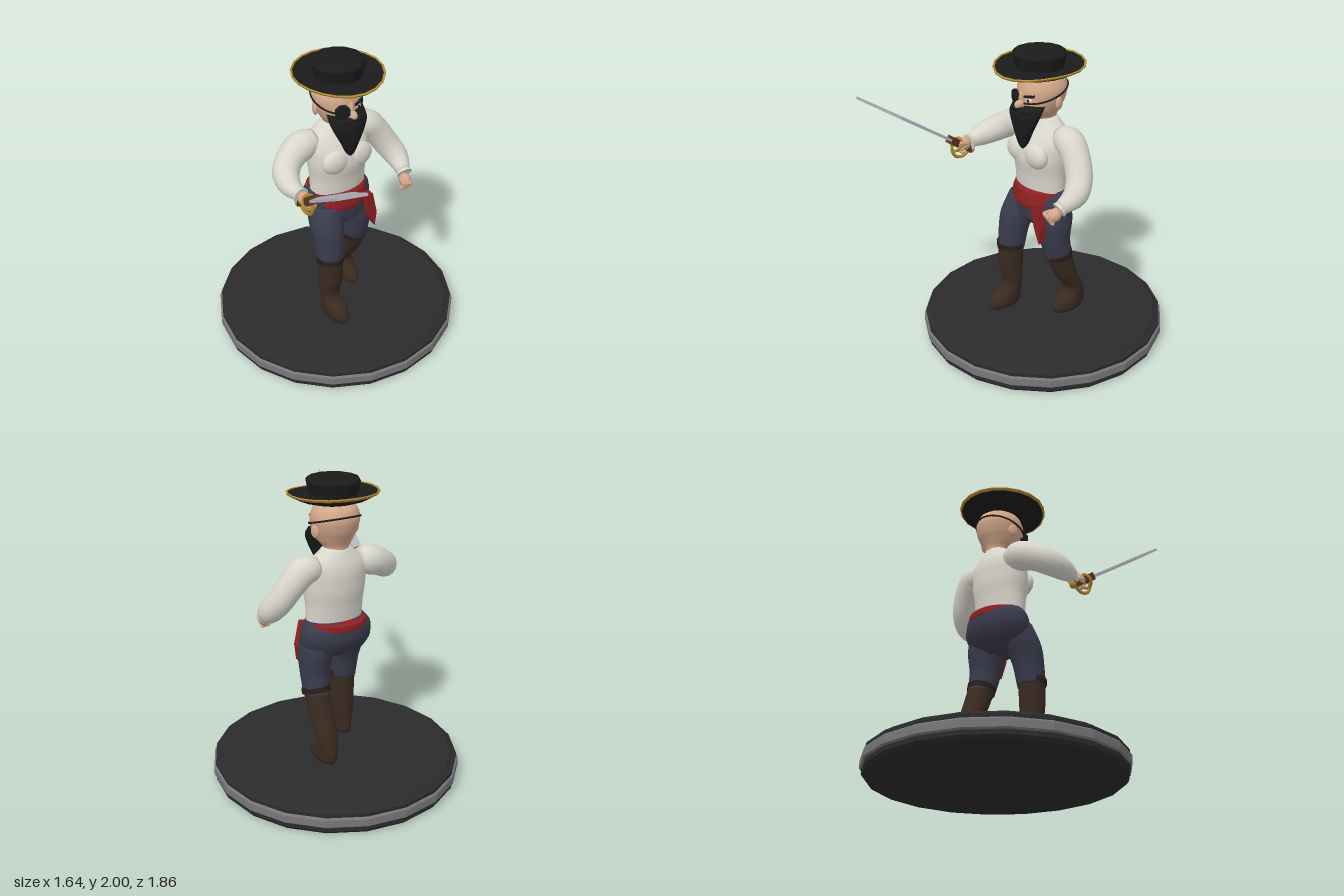
import * as THREE from 'three';

const COLORS = {
  black: 0x1b1b1b, stone: 0x2b2b2d, grey: 0x77777a, gold: 0xb08a30, skin: 0xd3a88a, white: 0xd9d6cc,
  blue: 0x3a3b4c, red: 0x8f2024, boot: 0x3a2a20, strap: 0x2c1e17, wood: 0x55341f, steel: 0xb4b7c0,
};
const mats = {};
function mat(name, flat = false) {
  const key = name + flat;
  return (mats[key] ??= new THREE.MeshStandardMaterial({ color: COLORS[name], flatShading: flat }));
}
function add(parent, name, geo, color, pos = [0, 0, 0], flat = false) {
  const m = new THREE.Mesh(geo, mat(color, flat));
  m.name = name;
  m.position.set(...pos);
  parent.add(m);
  return m;
}

// Smooth skin through elliptical rings [x, y, z, rx, rz]; rings lie level, or across the path when aligned
function loft(rings, { sides = 20, steps = 24, aligned = false } = {}) {
  const path = new THREE.CatmullRomCurve3(rings.map(r => new THREE.Vector3(r[0], r[1], r[2])));
  const radii = new THREE.CatmullRomCurve3(rings.map(r => new THREE.Vector3(r[3], r[4] ?? r[3], 0)));
  const frames = path.computeFrenetFrames(steps);
  const rise = Math.sign(rings[rings.length - 1][1] - rings[0][1]);
  const pos = [], index = [];
  for (let i = 0; i <= steps; i++) {
    const c = path.getPointAt(i / steps);
    const r = radii.getPoint(path.getUtoTmapping(i / steps));
    const u = aligned ? frames.normals[i] : new THREE.Vector3(1, 0, 0);
    const t = aligned ? frames.tangents[i] : new THREE.Vector3(0, rise, 0);
    const v = new THREE.Vector3().crossVectors(u, t);
    for (let j = 0; j < sides; j++) {
      const a = (j / sides) * Math.PI * 2;
      const p = c.clone().addScaledVector(u, Math.cos(a) * r.x).addScaledVector(v, Math.sin(a) * r.y);
      pos.push(p.x, p.y, p.z);
      if (i === steps) continue;
      const k = i * sides, n = (j + 1) % sides;
      index.push(k + j, k + sides + j, k + n, k + n, k + sides + j, k + sides + n);
    }
  }
  const last = steps * sides, mid = last + sides;
  pos.push(...path.getPoint(0).toArray(), ...path.getPoint(1).toArray());
  for (let j = 0; j < sides; j++) {
    const n = (j + 1) % sides;
    index.push(mid, j, n, mid + 1, last + n, last + j);
  }
  const g = new THREE.BufferGeometry();
  g.setAttribute('position', new THREE.Float32BufferAttribute(pos, 3));
  g.setIndex(index);
  g.computeVertexNormals();
  return g;
}
const lathe = (pts, n) => new THREE.LatheGeometry(pts.map(p => new THREE.Vector2(...p)), n);
const ball = (x, y, z) => new THREE.SphereGeometry(1, 16, 12).scale(x, y, z);

function outline(pts, depth) {
  const shape = new THREE.Shape(pts.map(p => new THREE.Vector2(...p)));
  return new THREE.ExtrudeGeometry(shape, { depth, bevelEnabled: false }).translate(0, 0, -depth / 2);
}

function buildBase(root) {
  const z = -0.115;
  add(root, 'basePlinth', lathe([[0, 0], [0.79, 0], [0.807, 0.02], [0.807, 0.14], [0.79, 0.145], [0.765, 0.165], [0, 0.165]], 20),
    'stone', [0, 0, z], true);
  add(root, 'baseBand', lathe([[0.8, 0.045], [0.815, 0.052], [0.82, 0.058], [0.82, 0.105], [0.815, 0.113], [0.8, 0.12]], 20),
    'grey', [0, 0, z], true);
}

// Right leg steps forward, left leg trails
function buildLegs(root) {
  add(root, 'trouserSeat', loft([[0, 0.84, -0.07, 0.13, 0.08], [0, 0.89, -0.09, 0.215, 0.145], [0, 0.98, -0.11, 0.247, 0.17],
    [0, 1.05, -0.115, 0.238, 0.165], [0, 1.1, -0.11, 0.2, 0.14]]), 'blue');
  const legs = [
    { side: 'right', s: -1, thigh: [-0.07, -0.02, 0.02, 0.04], shin: [0.045, 0.045, 0.035], foot: [0.055, 0.09, 0.1] },
    { side: 'left', s: 1, thigh: [-0.1, -0.09, -0.09, -0.12], shin: [-0.12, -0.185, -0.255], foot: [-0.25, -0.225, -0.21] },
  ];
  for (const { side, s, thigh: t, shin: b, foot: f } of legs) {
    add(root, side + 'TrouserLeg', loft([[s * 0.125, 1.0, t[0], 0.1, 0.12], [s * 0.137, 0.88, t[1], 0.11, 0.125],
      [s * 0.145, 0.75, t[2], 0.097, 0.105], [s * 0.15, 0.6, t[3], 0.086, 0.09]]), 'blue');
    add(root, side + 'Boot', loft([[s * 0.15, 0.62, b[0], 0.084, 0.088], [s * 0.15, 0.45, b[1], 0.08, 0.08],
      [s * 0.152, 0.33, b[2], 0.07, 0.066], [s * 0.152, 0.285, f[0], 0.068, 0.085], [s * 0.152, 0.25, f[1], 0.068, 0.12],
      [s * 0.152, 0.2, f[2], 0.067, 0.134], [s * 0.152, 0.168, f[2], 0.055, 0.115]], { steps: 32 }), 'boot');
    const strap = add(root, side + 'BootStrap', new THREE.CylinderGeometry(0.094, 0.092, 0.035, 16), 'strap',
      [s * 0.15, 0.63, b[0] + 0.002], true);
    strap.rotation.x = s > 0 ? 0.25 : 0;
    add(strap, 'buckle', new THREE.BoxGeometry(0.01, 0.04, 0.045), 'strap', [s * 0.092, 0, 0]);
  }
}

function buildTorso(root) {
  add(root, 'shirt', loft([[0, 1.07, -0.09, 0.195, 0.125], [0, 1.2, -0.09, 0.198, 0.14], [0, 1.31, -0.088, 0.212, 0.158],
    [0, 1.4, -0.095, 0.215, 0.152], [0, 1.47, -0.11, 0.2, 0.125], [0, 1.52, -0.115, 0.145, 0.1], [0, 1.57, -0.115, 0.08, 0.078]],
    { sides: 24 }), 'white');
  for (const s of [-1, 1]) add(root, 'shirtChest', ball(0.1, 0.085, 0.055), 'white', [s * 0.085, 1.34, 0.022]);
  // Sash is deep in front and shallow behind
  const sash = loft([[0, 0.97, -0.1, 0.205, 0.165], [0, 1.0, -0.105, 0.215, 0.178], [0, 1.09, -0.11, 0.203, 0.172], [0, 1.1, -0.11, 0.19, 0.155]],
    { sides: 24, steps: 8 });
  const p = sash.attributes.position;
  for (let i = 0; i < p.count; i++) {
    const back = THREE.MathUtils.clamp((0.06 - p.getZ(i)) / 0.2, 0, 1);
    p.setY(i, 1.1 - (1.1 - p.getY(i)) * (1 - 0.5 * back));
  }
  sash.computeVertexNormals();
  add(root, 'sash', sash, 'red', [0, 0, 0], true);
  const tail = add(root, 'sashTail', outline([[0.105, 1.03], [0.14, 0.87], [0.185, 0.77], [0.197, 0.88], [0.16, 1.04]], 0.05),
    'red', [0, 0, 0.04], true);
  tail.rotation.x = 0.02;
}

function fist(root, name, pos, rot, s) {
  const hand = new THREE.Group();
  hand.name = name;
  hand.position.set(...pos);
  hand.rotation.set(...rot);
  root.add(hand);
  add(hand, 'palm', ball(0.04, 0.042, 0.05), 'skin');
  for (let i = 0; i < 4; i++) {
    const finger = add(hand, 'finger', new THREE.CapsuleGeometry(0.013, 0.04, 3, 8), 'skin', [-s * 0.008, 0.033 - i * 0.022, 0.042]);
    finger.rotation.z = Math.PI / 2;
  }
  const thumb = add(hand, 'thumb', new THREE.CapsuleGeometry(0.013, 0.04, 3, 8), 'skin', [-s * 0.035, 0.025, 0.02]);
  thumb.rotation.x = 1.1;
}

function buildArms(root) {
  const arms = {
    right: [[-0.15, 1.45, -0.12, 0.075], [-0.24, 1.44, -0.125, 0.097], [-0.34, 1.4, -0.1, 0.09], [-0.42, 1.35, -0.03, 0.085],
      [-0.445, 1.32, 0.06, 0.07], [-0.437, 1.305, 0.15, 0.042]],
    left: [[0.15, 1.45, -0.12, 0.075], [0.24, 1.445, -0.12, 0.095], [0.315, 1.37, -0.11, 0.09], [0.385, 1.26, -0.075, 0.085],
      [0.42, 1.185, -0.015, 0.078], [0.405, 1.12, 0.09, 0.045]],
  };
  for (const [side, rings] of Object.entries(arms)) {
    add(root, side + 'Sleeve', loft(rings, { aligned: true, sides: 16 }), 'white');
    // Flared cuff that follows the forearm
    const [a, b] = rings.slice(-2).map(r => new THREE.Vector3(r[0], r[1], r[2]));
    const cuff = add(root, side + 'Cuff', new THREE.CylinderGeometry(0.054, 0.044, 0.028, 12), 'white', b.toArray(), true);
    cuff.quaternion.setFromUnitVectors(new THREE.Vector3(0, 1, 0), b.clone().sub(a).normalize());
  }
  fist(root, 'rightHand', [-0.435, 1.3, 0.2], [0.2, 0, 0], -1);
  fist(root, 'leftHand', [0.39, 1.08, 0.125], [0.6, -0.2, 0], 1);
}

function buildSword(root) {
  const sword = new THREE.Group();
  sword.name = 'sword';
  sword.position.set(-0.44, 1.275, 0.19);
  sword.rotation.x = 0.975;
  root.add(sword);
  add(sword, 'blade', outline([[-0.033, 0.15], [0.03, 0.15], [0.022, 0.58], [-0.062, 0.888], [-0.086, 0.6]], 0.016), 'steel', [0, 0, 0], true);
  add(sword, 'grip', new THREE.BoxGeometry(0.045, 0.19, 0.042), 'wood', [0, 0.045, 0]);
  add(sword, 'gripCollar', new THREE.BoxGeometry(0.066, 0.06, 0.05), 'wood', [0, 0.115, 0]);
  const guard = add(sword, 'knuckleGuard', new THREE.TorusGeometry(0.072, 0.011, 6, 12, Math.PI).rotateZ(-Math.PI / 2), 'gold', [0, 0.035, 0.01]);
  guard.rotation.y = -Math.PI / 2;
  const ring = add(sword, 'guardRing', new THREE.TorusGeometry(0.046, 0.01, 6, 14), 'gold', [0, 0.075, 0.01]);
  ring.rotation.x = Math.PI / 2;
  add(sword, 'pommel', ball(0.026, 0.02, 0.026), 'gold', [0, -0.055, 0]);
}

function buildHead(root) {
  add(root, 'head', loft([[0, 1.5, -0.125, 0.075, 0.075], [0, 1.57, -0.11, 0.082, 0.085], [0, 1.62, -0.085, 0.118, 0.13],
    [0, 1.68, -0.09, 0.142, 0.155], [0, 1.75, -0.098, 0.155, 0.162], [0, 1.82, -0.1, 0.132, 0.142], [0, 1.87, -0.1, 0.06, 0.065]],
    { sides: 24 }), 'skin');
  add(root, 'nose', ball(0.026, 0.03, 0.04), 'skin', [0, 1.675, 0.08]);
  add(root, 'noseBridge', ball(0.016, 0.05, 0.025), 'skin', [0, 1.71, 0.062]);
  add(root, 'beard', loft([[0, 1.372, 0.052, 0.006, 0.008], [0, 1.4, 0.052, 0.03, 0.03], [0, 1.47, 0.054, 0.062, 0.046], [0, 1.56, 0.048, 0.108, 0.062],
    [0, 1.62, 0.035, 0.13, 0.074], [0, 1.672, 0.0, 0.132, 0.058]]), 'black');
  for (const s of [-1, 1]) {
    add(root, 'ear', ball(0.016, 0.042, 0.032), 'skin', [s * 0.148, 1.68, -0.11]).rotation.y = s * 0.3;
    const half = add(root, 'moustache', ball(0.058, 0.02, 0.026), 'black', [s * 0.045, 1.642, 0.085]);
    half.rotation.set(0, s * 0.35, -s * 0.25);
  }
  add(root, 'eye', ball(0.022, 0.014, 0.014), 'white', [0.058, 1.708, 0.05]);
  add(root, 'pupil', ball(0.009, 0.01, 0.008), 'black', [0.058, 1.708, 0.06]);
  add(root, 'eyebrow', new THREE.BoxGeometry(0.07, 0.012, 0.02), 'black', [0.06, 1.735, 0.055]).rotation.set(0, 0.35, 0.15);
  const patch = add(root, 'eyePatch', new THREE.CylinderGeometry(0.048, 0.048, 0.024, 8).rotateX(Math.PI / 2).rotateZ(Math.PI / 8),
    'black', [-0.062, 1.705, 0.065], true);
  patch.rotation.y = -0.35;
  // Strap runs up from the patch around the back of the head
  const loop = [];
  for (let i = 0; i < 20; i++) {
    const a = (i / 20) * Math.PI * 2, z = -0.095 + 0.164 * Math.sin(a);
    loop.push(new THREE.Vector3(0.158 * Math.cos(a), 1.705 - 0.3 * z, z));
  }
  add(root, 'patchStrap', new THREE.TubeGeometry(new THREE.CatmullRomCurve3(loop, true), 40, 0.006, 5, true), 'black');
}

function buildHat(root) {
  const hat = new THREE.Group();
  hat.name = 'hat';
  hat.position.set(0, 0, -0.075);
  root.add(hat);
  // Curl the brim up at the sides and back
  const curl = g => {
    const p = g.attributes.position;
    for (let i = 0; i < p.count; i++) {
      const x = p.getX(i) / 0.285, z = p.getZ(i) / 0.285, f = Math.hypot(x, z);
      p.setY(i, p.getY(i) + f * (0.05 * x * x + (z < 0 ? 0.062 : 0.018) * z * z));
    }
    g.computeVertexNormals();
    return g;
  };
  add(hat, 'brim', curl(lathe([[0, 1.838], [0.15, 1.838], [0.22, 1.843], [0.283, 1.85], [0.283, 1.862], [0.22, 1.87], [0.14, 1.885], [0, 1.885]], 20)),
    'black', [0, 0, 0], true);
  add(hat, 'brimTrim', curl(new THREE.TorusGeometry(0.281, 0.009, 6, 20).rotateX(Math.PI / 2).rotateY(Math.PI / 2).translate(0, 1.857, 0)), 'gold');
  add(hat, 'crown', lathe([[0.15, 1.85], [0.153, 1.9], [0.17, 1.975], [0.16, 1.99], [0.12, 2.0], [0, 2.0]], 14), 'black', [0, 0, 0], true);
}

export function createModel() {
  const root = new THREE.Group();
  root.name = 'swordsmanFigure';
  for (const build of [buildBase, buildLegs, buildTorso, buildArms, buildSword, buildHead, buildHat]) build(root);
  return root;
}
